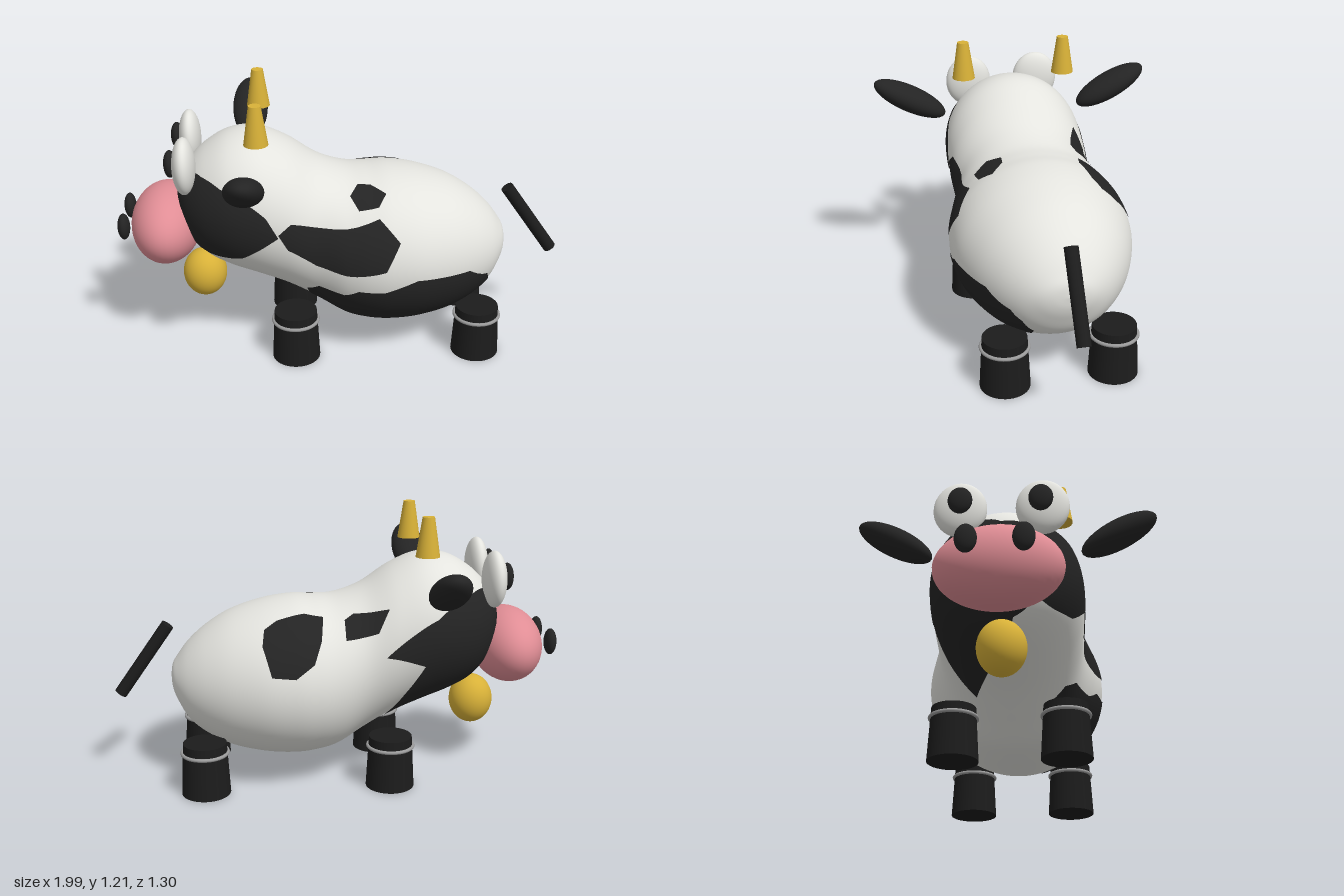
import * as THREE from 'three';

const mat = (name, color) => Object.assign(new THREE.MeshStandardMaterial({ color }), { name });

// Body stations from nose to rump: x, top y, bottom y, half width
const STATIONS = [
  [-0.735, 0.71, 0.71, 0], [-0.73, 0.765, 0.655, 0.06], [-0.71, 0.825, 0.585, 0.125],
  [-0.67, 0.89, 0.51, 0.19], [-0.6, 0.955, 0.44, 0.255], [-0.5, 1.008, 0.39, 0.305],
  [-0.38, 1.017, 0.345, 0.325], [-0.25, 0.965, 0.29, 0.324], [-0.12, 0.88, 0.215, 0.32],
  [0, 0.835, 0.145, 0.36], [0.1, 0.828, 0.12, 0.388], [0.2, 0.83, 0.112, 0.398],
  [0.33, 0.81, 0.123, 0.385], [0.47, 0.765, 0.155, 0.335], [0.58, 0.7, 0.21, 0.27],
  [0.66, 0.63, 0.275, 0.2], [0.71, 0.565, 0.36, 0.13], [0.733, 0.525, 0.42, 0.07], [0.74, 0.475, 0.475, 0],
];
const spline = (f) => new THREE.CatmullRomCurve3(STATIONS.map(f), false, 'catmullrom', 0.5);
const heights = spline(([x, t, b]) => new THREE.Vector3(x, (t + b) / 2, (t - b) / 2));
const widths = spline(([x, , , w]) => new THREE.Vector3(x, w, 0));

// Oval cross-section of the body at spline position u
function sliceAt(u) {
  const h = heights.getPoint(u);
  return { x: h.x, cy: h.y, ry: Math.max(h.z, 0), w: Math.max(widths.getPoint(u).y, 0) };
}

function sliceAtX(x) {
  let lo = 0, hi = 1;
  for (let i = 0; i < 24; i++) {
    const m = (lo + hi) / 2;
    if (heights.getPoint(m).x < x) lo = m; else hi = m;
  }
  return sliceAt((lo + hi) / 2);
}

// Angle a runs from the top over +z to the bottom and back over -z
function surface(s, a, lift = 0) {
  return [s.x * (1 + lift), s.cy + (s.ry + lift) * Math.cos(a), (s.w + lift) * Math.sin(a)];
}

// Rows of closed loops joined into one smooth skin
function loopSkin(rows) {
  const n = rows[0].length, index = [];
  for (let i = 0; i < rows.length - 1; i++) {
    for (let j = 0; j < n; j++) {
      const a = i * n + j, b = i * n + (j + 1) % n;
      index.push(a, b, a + n, b, b + n, a + n);
    }
  }
  const g = new THREE.BufferGeometry();
  g.setAttribute('position', new THREE.Float32BufferAttribute(rows.flat(2), 3));
  g.setIndex(index);
  g.computeVertexNormals();
  return g;
}

// Thin painted patch: outline in (x, angle), filled in rings towards its centre
function patch(outline, centreOf, steps = 8, rings = 14) {
  const edge = [];
  outline.forEach((p, i) => {
    const q = outline[(i + 1) % outline.length];
    for (let k = 0; k < steps; k++) edge.push(p.clone().lerp(q, k / steps));
  });
  const rows = [];
  for (let r = 0; r <= rings; r++) {
    rows.push(edge.map((p) => {
      const q = p.clone().lerp(centreOf(p), r / rings);
      return surface(sliceAtX(q.x), q.y, 0.004);
    }));
  }
  return loopSkin(rows);
}

const clamp = (v) => Math.min(1, Math.max(-1, v));
const fromSide = ([x, y]) => {
  const s = sliceAtX(x);
  return new THREE.Vector2(x, Math.acos(clamp((y - s.cy) / s.ry)));
};
const fromTop = ([x, z]) => new THREE.Vector2(x, Math.asin(clamp(z / sliceAtX(x).w)));

function spot(points, convert) {
  const pts = points.map(convert);
  if (THREE.ShapeUtils.isClockWise(pts)) pts.reverse();
  const c = new THREE.Vector2();
  pts.forEach((p) => c.addScaledVector(p, 1 / pts.length));
  return patch(pts, () => c);
}

export function createModel() {
  const model = new THREE.Group();
  model.name = 'cow';
  const white = mat('hideWhite', 0xe4e4df);
  const black = mat('spotBlack', 0x242424);
  black.side = THREE.DoubleSide;
  const hoof = mat('legBlack', 0x1c1c1c);
  const pink = mat('muzzlePink', 0xe08d95);
  const gold = mat('hornGold', 0xd8b138);
  const grey = mat('bandGrey', 0x9a9a9a);

  const add = (name, geometry, material, pos = [0, 0, 0], parent = model) => {
    const m = new THREE.Mesh(geometry, material);
    m.name = name;
    m.position.set(...pos);
    parent.add(m);
    return m;
  };
  const ball = new THREE.SphereGeometry(1, 40, 28);
  const egg = (name, material, pos, radii) => {
    const m = add(name, ball, material, pos);
    m.scale.set(...radii);
    return m;
  };

  // Body and head in one skin
  const rows = [];
  for (let i = 0; i <= 108; i++) {
    const s = sliceAt(i / 108), row = [];
    for (let j = 0; j < 96; j++) row.push(surface(s, -(j / 96) * Math.PI * 2));
    rows.push(row.reverse());
  }
  const skin = loopSkin(rows);
  skin.index.array.reverse();
  skin.computeVertexNormals();
  // make sure the skin faces outward
  const mid = 54 * 96 + 24;
  const nz = skin.attributes.normal.getZ(mid) * Math.sign(skin.attributes.position.getZ(mid));
  if (nz < 0) { skin.index.array.reverse(); skin.computeVertexNormals(); }
  add('body', skin, white);

  // Face mask: degrees around the head and how far back it reaches
  const mask = [[0, -0.7], [25, -0.69], [46, -0.61], [60, -0.53], [78, -0.34], [90, -0.29], [121, -0.45],
    [140, -0.65], [170, -0.62], [190, -0.4], [206, -0.2], [232, -0.28], [253, -0.36], [275, -0.19],
    [286, -0.41], [305, -0.56], [325, -0.66], [359.9, -0.7]]
    .map(([d, x]) => new THREE.Vector2(x, THREE.MathUtils.degToRad(d)));
  add('faceMask', patch(mask, (p) => new THREE.Vector2(-0.735, p.y), 8, 24), black);

  // Spots on the flank, belly and back
  add('flankSpot', spot([[-0.29, 0.66], [-0.235, 0.705], [0.14, 0.71], [0.225, 0.625], [0.165, 0.507],
    [0, 0.475], [-0.13, 0.507], [-0.25, 0.587]], fromSide), black);
  add('bellySpot', spot([[-0.17, 0.35], [-0.12, 0.385], [-0.01, 0.365], [0.05, 0.4], [0.165, 0.405], [0.3, 0.46],
    [0.54, 0.45], [0.635, 0.39], [0.65, 0.34], [0.63, 0.275], [0.5, 0.18], [0.3, 0.185], [0.13, 0.19],
    [0.09, 0.17], [0, 0.17], [-0.15, 0.27]], fromSide), black);
  add('smallBackSpot', spot([[0.02, 0.2], [0.055, 0.14], [0.11, 0.145], [0.175, 0.2], [0.14, 0.255],
    [0.055, 0.26]], fromTop), black);
  add('largeBackSpot', spot([[0.07, -0.2], [0.085, -0.3], [0.12, -0.36], [0.2, -0.386], [0.3, -0.375],
    [0.335, -0.3], [0.325, -0.24], [0.27, -0.21], [0.15, -0.185]], fromTop), black);
  add('neckSpot', spot([[-0.21, -0.25], [-0.16, -0.285], [-0.02, -0.29], [-0.02, -0.22], [-0.06, -0.2],
    [-0.12, -0.215]], fromTop), black);

  // Muzzle and bell
  egg('muzzle', pink, [-0.795, 0.58, 0], [0.157, 0.17, 0.257]);
  egg('bell', gold, [-0.64, 0.315, 0], [0.1, 0.115, 0.1]);

  // Paired head parts and legs
  const hornShape = new THREE.CylinderGeometry(0.026, 0.052, 0.17, 32);
  const legShape = new THREE.CylinderGeometry(0.095, 0.108, 0.235, 40);
  const bandShape = new THREE.TorusGeometry(0.1, 0.008, 12, 48).rotateX(Math.PI / 2);
  for (const s of [1, -1]) {
    const side = s > 0 ? 'Near' : 'Far';
    egg('nostril' + side, black, [-0.973, 0.61, s * 0.108], [0.027, 0.06, 0.043]);
    egg('eye' + side, white, [-0.685, 0.92, s * 0.168], [0.05, 0.125, 0.11]);
    egg('pupil' + side, black, [-0.742, 0.93, s * 0.163], [0.027, 0.06, 0.05]);
    egg('ear' + side, black, [-0.42, 0.94, s * 0.485], [0.083, 0.06, 0.183]).rotation.x = -s * 0.49;
    add('horn' + side, hornShape, gold, [-0.373, 1.125, s * 0.235]);
    for (const x of [-0.225, 0.595]) {
      const leg = new THREE.Group();
      leg.name = (x < 0 ? 'frontLeg' : 'hindLeg') + side;
      leg.position.set(x, 0, s * 0.236);
      model.add(leg);
      add('leg', legShape, hoof, [0, 0.1175, 0], leg);
      add('legBand', bandShape, grey, [0, 0.19, 0], leg);
    }
  }

  // Tail
  const tail = add('tail', new THREE.CylinderGeometry(0.029, 0.029, 0.385, 24), hoof, [0.858, 0.552, 0]);
  tail.rotation.z = Math.atan2(0.225, 0.317);
  return model;
}
